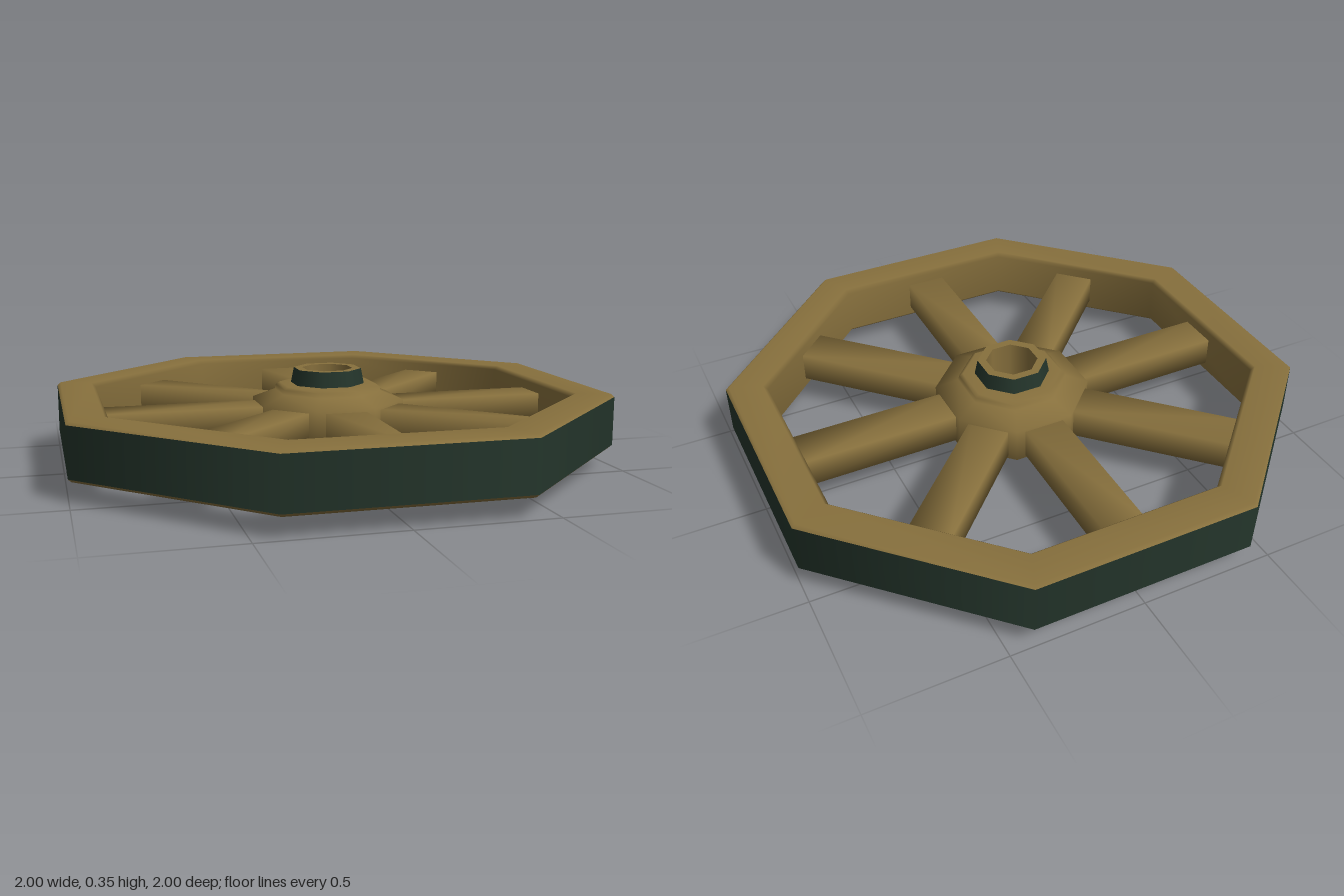
import * as THREE from 'three';
import { mergeVertices } from 'three/addons/utils/BufferGeometryUtils.js';

const SIDES = 8;
const STEP = (Math.PI * 2) / SIDES;

export function createModel() {
  const wheel = new THREE.Group();
  wheel.name = 'wheel';

  const wood = new THREE.MeshStandardMaterial({ color: 0x87703d });
  wood.name = 'wood';
  const iron = new THREE.MeshStandardMaterial({ color: 0x24352b });
  iron.name = 'dark green iron';

  // Eight-sided ring from [distance to flat side, height] points
  function ring(name, profile, material) {
    const points = profile.map(([r, y]) => new THREE.Vector2(r / Math.cos(STEP / 2), y));
    const mesh = new THREE.Mesh(new THREE.LatheGeometry(points, SIDES, STEP / 2), material);
    mesh.name = name;
    wheel.add(mesh);
  }

  // Rim: wooden body open on the outside, closed by the iron tread
  ring('rim', [
    [1, 0.264], [0.988, 0.275], [0.87, 0.275], [0.855, 0.26],
    [0.855, 0.085], [0.87, 0.07], [0.988, 0.07], [1, 0.081],
  ], wood);
  ring('tread', [[1, 0.081], [1, 0.264]], iron);

  // Hub: wide body stepping in to a shoulder above and below
  ring('hub', [
    [0.14, 0.05], [0.188, 0.05], [0.205, 0.075], [0.27, 0.105],
    [0.27, 0.237], [0.19, 0.27], [0.186, 0.287], [0.172, 0.297], [0.12, 0.297],
  ], wood);
  ring('upperCollar', [[0.131, 0.295], [0.12, 0.355]], iron);
  ring('lowerCollar', [[0.128, 0], [0.143, 0.05]], iron);

  // Axle hole lining with its end faces
  ring('upperEndFace', [[0.12, 0.355], [0.09, 0.355]], wood);
  ring('axleHole', [[0.09, 0.355], [0.09, 0]], wood);
  ring('lowerEndFace', [[0.09, 0], [0.128, 0]], wood);

  // Spokes: softly shaded bars from the hub to the middle of each rim side
  const inner = 0.22, outer = 0.865;
  const box = new THREE.BoxGeometry(outer - inner, 0.11, 0.155);
  box.deleteAttribute('normal');
  box.deleteAttribute('uv');
  const spokeGeometry = mergeVertices(box);
  spokeGeometry.translate((inner + outer) / 2, 0.172, 0);
  spokeGeometry.computeVertexNormals();
  for (let i = 0; i < SIDES; i++) {
    const spoke = new THREE.Mesh(spokeGeometry, wood);
    spoke.name = 'spoke';
    spoke.rotation.y = i * STEP;
    wheel.add(spoke);
  }

  return wheel;
}
